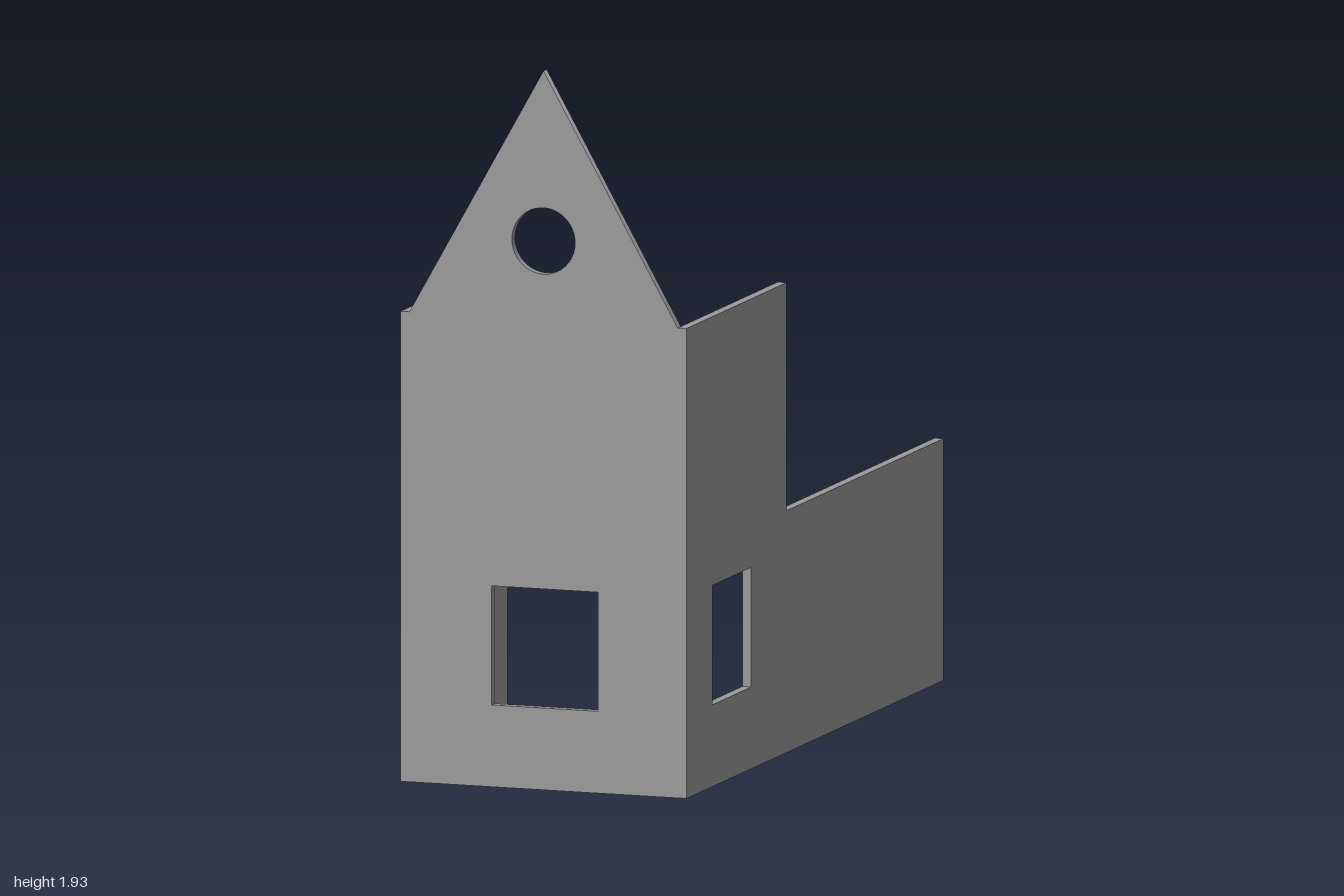
import * as THREE from 'three';

const T = 0.025;      // wall thickness
const HALF_W = 0.403; // half of the outer width
const EAVES = 1.263;
const PEAK = 1.932;

const material = new THREE.MeshStandardMaterial({ color: 0x9a9a9a });

function rectHole(x0, x1, y0, y1) {
  return new THREE.Path([[x0, y0], [x0, y1], [x1, y1], [x1, y0]].map(p => new THREE.Vector2(...p)));
}

// Flat panel cut from an outline with openings
function panel(name, outline, holes) {
  const shape = new THREE.Shape(outline.map(p => new THREE.Vector2(...p)));
  shape.holes.push(...holes);
  const geometry = new THREE.ExtrudeGeometry(shape, { depth: T, bevelEnabled: false, curveSegments: 32 });
  const mesh = new THREE.Mesh(geometry, material);
  mesh.name = name;
  return mesh;
}

// Side panel drawn in (z, y), its thickness running from outerX towards -x
function sidePanel(name, outline, outerX) {
  const mesh = panel(name, outline, [rectHole(0.497, 0.796, 0.22, 0.541)]);
  mesh.geometry.rotateY(-Math.PI / 2);
  mesh.position.x = outerX;
  return mesh;
}

// Smooth shading of the narrow sloping edge across the ridge
function softenRidge(geometry) {
  const { position, normal } = geometry.attributes;
  for (let i = 0; i < position.count; i++) {
    if (position.getY(i) > PEAK - 0.001 && Math.abs(normal.getZ(i)) < 0.5) normal.setXYZ(i, 0, 1, 0);
  }
}

export function createModel() {
  const group = new THREE.Group();
  group.name = 'houseWalls';

  // Front gable wall with square window and round attic opening
  const w = HALF_W - T;
  const round = new THREE.Path();
  round.absarc(0, 1.475, 0.089, 0, Math.PI * 2, true);
  const front = panel('frontGableWall',
    [[-w, 0], [w, 0], [w, EAVES], [0, PEAK], [-w, EAVES]],
    [rectHole(-0.147, 0.153, 0.22, 0.54), round]);
  softenRidge(front.geometry);
  front.position.z = 1 - T;
  group.add(front);

  // Long stepped wall on the left (+x)
  group.add(sidePanel('longSideWall',
    [[-1, 0], [1, 0], [1, EAVES], [0.222, EAVES], [0.222, 0.65], [-1, 0.65]], HALF_W));

  // Short wall on the right (-x)
  group.add(sidePanel('shortSideWall',
    [[0.237, 0], [1, 0], [1, EAVES], [0.237, EAVES]], -HALF_W + T));

  return group;
}
